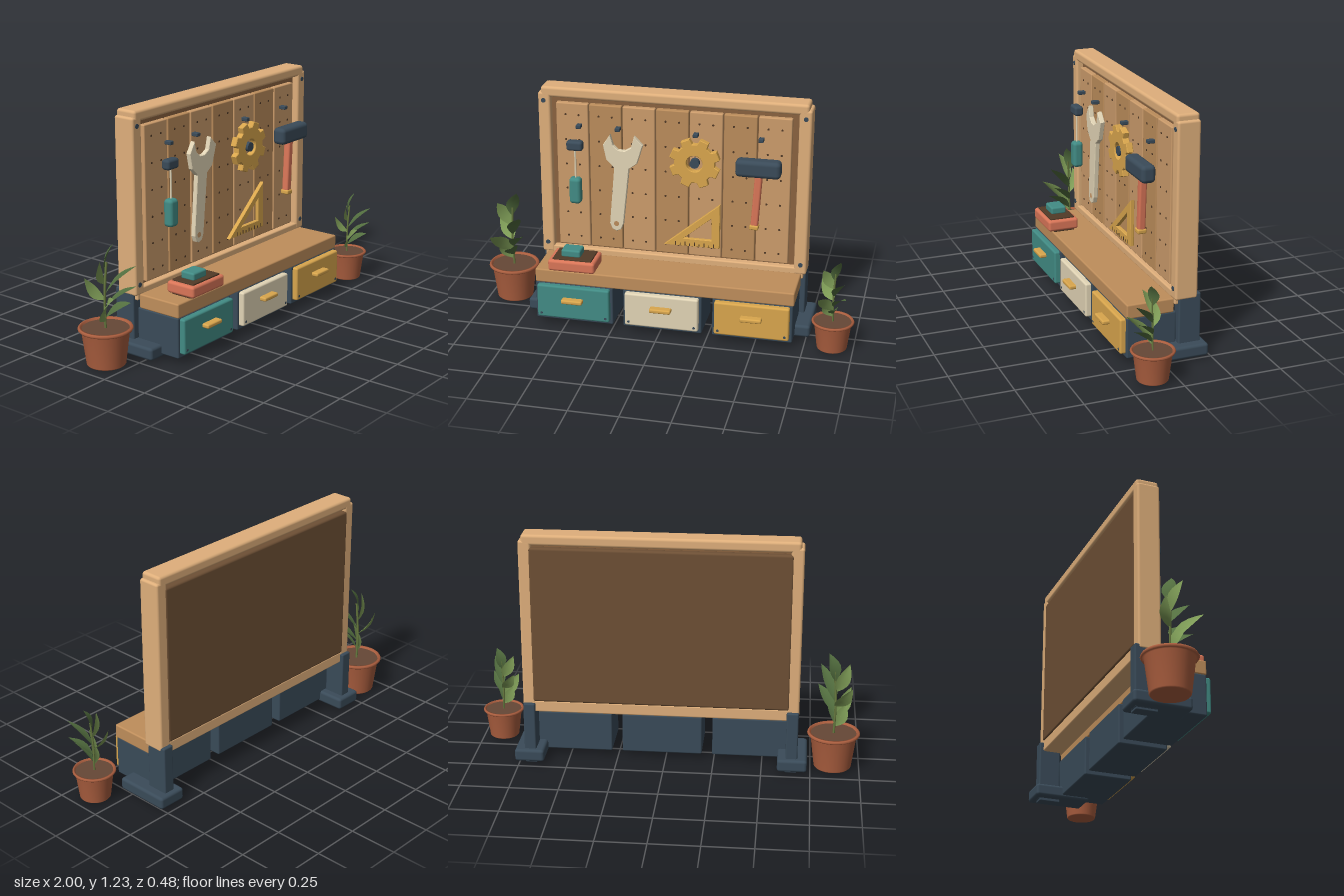
import * as THREE from 'three';
import { RoundedBoxGeometry } from 'three/addons/geometries/RoundedBoxGeometry.js';

const C = {
  frame: 0xdfaf7b, bench: 0xbf8e5b, plankA: 0xcc9c6b, plankB: 0xbc8d5b, backing: 0x8a6340, back: 0x6e5035,
  navy: 0x3a4b59, teal: 0x428c85, cream: 0xe2d5b6, gold: 0xd9a64d, red: 0xda7658, pot: 0xae6040,
  soil: 0x664836, hole: 0x513a27, stem: 0x67793f, leafA: 0x547040, leafB: 0x7f9d57,
};
const mats = {};
const mat = (c) => (mats[c] ??= new THREE.MeshStandardMaterial({ color: C[c] }));

function add(parent, name, geo, color, x = 0, y = 0, z = 0) {
  const m = new THREE.Mesh(geo, mat(color));
  m.name = name;
  m.position.set(x, y, z);
  parent.add(m);
  return m;
}

// Rounded block given by its extents on each axis
function block(parent, name, color, [x0, x1], [y0, y1], [z0, z1], r = 0.008) {
  const w = x1 - x0, h = y1 - y0, d = z1 - z0;
  const geo = new RoundedBoxGeometry(w, h, d, 2, Math.min(r, Math.min(w, h, d) * 0.45));
  return add(parent, name, geo, color, (x0 + x1) / 2, (y0 + y1) / 2, (z0 + z1) / 2);
}

// Short cylinder facing the front
function disc(parent, name, color, r, depth, x, y, z) {
  const m = add(parent, name, new THREE.CylinderGeometry(r, r, depth, 14), color, x, y, z);
  m.rotation.x = Math.PI / 2;
  return m;
}

const poly = (pts) => new THREE.Shape(pts.map(([x, y]) => new THREE.Vector2(x, y)));
const circleHole = (x, y, r) => new THREE.Path().absarc(x, y, r, 0, Math.PI * 2, true);
const plate = (shape, depth) => new THREE.ExtrudeGeometry(shape, {
  depth: depth - 0.006, bevelEnabled: true, bevelThickness: 0.003, bevelSize: 0.003, bevelOffset: -0.003, bevelSegments: 1, curveSegments: 16,
});

function buildBoard(g) {
  const cx = 0.015;
  for (const s of [-1, 1]) {
    const span = (a, b) => [cx + s * a, cx + s * b].sort((p, q) => p - q);
    block(g, 'framePost', 'frame', span(0.64, 0.705), [0.305, 1.195], [-0.187, -0.07], 0.012);
    block(g, 'leg', 'navy', span(0.642, 0.703), [0.01, 0.33], [-0.205, -0.09]);
    block(g, 'foot', 'navy', span(0.6, 0.752), [0.015, 0.08], [-0.23, 0.063], 0.015);
    block(g, 'footPad', 'navy', span(0.64, 0.7), [0, 0.02], [-0.2, -0.09], 0.004);
    for (const y of [0.36, 1.152]) disc(g, 'frameBolt', 'navy', 0.012, 0.006, cx + s * 0.675, y, -0.07);
  }
  block(g, 'topRail', 'frame', [-0.675, 0.705], [1.17, 1.226], [-0.187, -0.07], 0.015);
  block(g, 'bottomRail', 'frame', [-0.675, 0.705], [0.28, 0.342], [-0.185, -0.072]);
  block(g, 'boardBacking', 'backing', [-0.64, 0.67], [0.32, 1.18], [-0.15, -0.107]);
  block(g, 'backPanel', 'back', [-0.64, 0.668], [0.338, 1.16], [-0.19, -0.15], 0.012);

  // Planks with their rows of peg holes
  for (let i = 0; i < 7; i++) {
    const x = -0.597 + i * 0.175;
    block(g, 'plank', i % 2 ? 'plankB' : 'plankA', [x, x + 0.169], [0.355, 1.143], [-0.12, -0.08], 0.006);
    for (const dx of [0.05, 0.12])
      for (let j = 0; j < 6; j++) disc(g, 'pegHole', 'hole', 0.0055, 0.003, x + dx, 1.082 - j * 0.135, -0.0795);
  }
}

function buildBench(g) {
  block(g, 'benchTop', 'bench', [-0.66, 0.695], [0.238, 0.312], [-0.075, 0.17]);
  [[-0.453, 'teal'], [0.015, 'cream'], [0.483, 'gold']].forEach(([x, color]) => {
    block(g, 'drawerCase', 'navy', [x - 0.207, x + 0.207], [0.03, 0.24], [-0.088, 0.168]);
    block(g, 'drawerFront', color, [x - 0.193, x + 0.193], [0.052, 0.234], [0.15, 0.197], 0.01);
    block(g, 'drawerHandle', 'gold', [x - 0.056, x + 0.056], [0.153, 0.175], [0.19, 0.234]);
    for (const s of [-1, 1]) disc(g, 'drawerScrew', 'navy', 0.007, 0.004, x + s * 0.172, 0.074, 0.196);
  });

  // Small tray with a block on it
  block(g, 'tray', 'red', [-0.582, -0.335], [0.322, 0.382], [0.033, 0.2], 0.014);
  block(g, 'trayBase', 'hole', [-0.56, -0.355], [0.31, 0.33], [0.05, 0.165], 0.004);
  block(g, 'trayInset', 'hole', [-0.56, -0.355], [0.37, 0.39], [0.05, 0.183], 0.004);
  block(g, 'trayBlock', 'teal', [-0.522, -0.42], [0.385, 0.426], [0.072, 0.155], 0.01);
}

function buildTools(g) {
  for (const x of [-0.465, -0.26, 0.143, 0.475])
    block(g, 'hook', 'navy', [x - 0.013, x + 0.013], [1.029, 1.048], [-0.056, -0.018], 0.004);

  // Screwdriver
  block(g, 'screwdriverHead', 'navy', [-0.525, -0.44], [0.915, 0.967], [-0.04, 0.008], 0.014);
  add(g, 'screwdriverShaft', new THREE.CylinderGeometry(0.005, 0.005, 0.17, 10), 'cream', -0.482, 0.84, -0.015);
  block(g, 'screwdriverHandle', 'teal', [-0.514, -0.452], [0.625, 0.766], [-0.042, 0.012], 0.018);

  // Wrench with an open jaw and a hanging hole
  const wrench = poly([
    [-0.298, 1.012], [-0.335, 0.955], [-0.318, 0.875], [-0.277, 0.835], [-0.303, 0.525], [-0.29, 0.493], [-0.268, 0.484],
    [-0.245, 0.493], [-0.232, 0.525], [-0.2, 0.833], [-0.158, 0.865], [-0.127, 0.965], [-0.172, 1.012], [-0.188, 0.95],
    [-0.222, 0.93], [-0.256, 0.932], [-0.282, 0.955],
  ].reverse());
  wrench.holes.push(circleHole(-0.268, 0.525, 0.017));
  add(g, 'wrench', plate(wrench, 0.026), 'cream', 0, 0, -0.037);

  // Gear with eight teeth
  const teeth = [];
  for (let i = 0; i < 8; i++)
    for (const [da, r] of [[-0.27, 0.104], [-0.18, 0.132], [0.18, 0.132], [0.27, 0.104]]) {
      const a = (i + 0.5) * Math.PI / 4 + da;
      teeth.push([r * Math.cos(a), r * Math.sin(a)]);
    }
  const gear = poly(teeth);
  gear.holes.push(circleHole(0, 0, 0.042));
  add(g, 'gear', plate(gear, 0.034), 'gold', 0.143, 0.896, -0.032);
  disc(g, 'gearPeg', 'navy', 0.025, 0.028, 0.143, 0.896, -0.016);

  // Set square with ruler marks
  const square = poly([[-0.015, 0.433], [0.275, 0.433], [0.275, 0.677]]);
  square.holes.push(new THREE.Path(poly([[0.085, 0.475], [0.232, 0.597], [0.232, 0.475]]).getPoints()));
  add(g, 'setSquare', plate(square, 0.022), 'gold', 0, 0, -0.036);
  for (let i = 0; i < 9; i++) {
    const x = 0.045 + i * 0.025, h = i % 2 ? 0.012 : 0.02;
    add(g, 'rulerMark', new THREE.BoxGeometry(0.004, h, 0.002), 'hole', x, 0.438 + h / 2, -0.014);
  }

  // Hammer, its handle leaning slightly
  block(g, 'hammerHead', 'navy', [0.358, 0.587], [0.864, 0.953], [-0.022, 0.052], 0.022);
  const handle = new THREE.Group();
  handle.name = 'hammerHandle';
  handle.position.set(0.476, 0.91, 0);
  handle.rotation.z = -0.06;
  block(handle, 'handleShaft', 'red', [-0.019, 0.019], [-0.32, 0.02], [-0.017, 0.021], 0.01);
  block(handle, 'handleCap', 'gold', [-0.023, 0.023], [-0.337, -0.312], [-0.021, 0.027], 0.008);
  g.add(handle);
}

// Pointed leaf folded along its midrib, from base to tip; its broad face looks back and up
function leafGeometry(base, tip, width) {
  const dir = tip.clone().sub(base);
  const side = new THREE.Vector3().crossVectors(dir, new THREE.Vector3(-0.55, 0.45, -0.7)).normalize();
  const up = new THREE.Vector3().crossVectors(side, dir).normalize();
  const pos = [], idx = [];
  [0.08, 0.62, 0.95, 1, 0.8, 0.45, 0].forEach((w, i) => {
    const t = i / 6, mid = base.clone().addScaledVector(dir, t).addScaledVector(up, 0.012 * Math.sin(Math.PI * t));
    for (const s of [-1, 0, 1])
      pos.push(...mid.clone().addScaledVector(side, s * w * width / 2).addScaledVector(up, Math.abs(s) * w * 0.008).toArray());
    if (i < 6)
      for (const k of [i * 3, i * 3 + 1]) idx.push(k, k + 1, k + 3, k + 1, k + 4, k + 3);
  });
  const geo = new THREE.BufferGeometry();
  geo.setAttribute('position', new THREE.Float32BufferAttribute(pos, 3));
  geo.setIndex(idx);
  geo.computeVertexNormals();
  return geo;
}

function buildPlant(parent, name, x, z, scale) {
  const p = new THREE.Group();
  p.name = name;
  p.position.set(x, 0.008, z);
  p.scale.setScalar(scale);
  const profile = [[0, 0], [0.091, 0], [0.096, 0.006], [0.118, 0.176], [0.13, 0.177], [0.135, 0.185], [0.13, 0.194], [0.12, 0.194], [0.114, 0.17]];
  add(p, 'pot', new THREE.LatheGeometry(profile.map(([r, y]) => new THREE.Vector2(r, y)), 32), 'pot');
  add(p, 'soil', new THREE.CylinderGeometry(0.116, 0.112, 0.02, 32), 'soil', 0, 0.175, 0);
  const stem = new THREE.CatmullRomCurve3([[0, 0.17, 0], [-0.004, 0.35, 0.003], [0.006, 0.52, 0.01]].map((v) => new THREE.Vector3(...v)));
  add(p, 'stem', new THREE.TubeGeometry(stem, 10, 0.006, 8), 'stem');
  // Each leaf: height on the stem, then its tip
  [
    [0.47, 0.037, 0.608, 0.03], [0.41, -0.07, 0.548, 0.04], [0.36, 0.075, 0.508, 0.14], [0.33, -0.085, 0.45, -0.05],
    [0.29, 0.085, 0.4, 0.13], [0.26, -0.085, 0.385, 0.135], [0.24, 0.03, 0.335, 0.14], [0.22, -0.06, 0.32, 0.06],
  ].forEach(([h, tx, ty, tz], i) => {
    const m = add(p, 'leaf', leafGeometry(new THREE.Vector3(0, h, 0.004), new THREE.Vector3(tx, ty, tz), 0.075), i % 2 ? 'leafB' : 'leafA');
    m.material.side = THREE.DoubleSide;
  });
  parent.add(p);
}

export function createModel() {
  const root = new THREE.Group();
  root.name = 'toolBoardBench';
  [['pegBoard', buildBoard], ['bench', buildBench], ['tools', buildTools]].forEach(([name, build]) => {
    const g = new THREE.Group();
    g.name = name;
    g.position.x = 0.004;
    build(g);
    root.add(g);
  });
  buildPlant(root, 'largePlant', -0.864, -0.11, 1);
  buildPlant(root, 'smallPlant', 0.892, 0.118, 0.8);
  return root;
}
